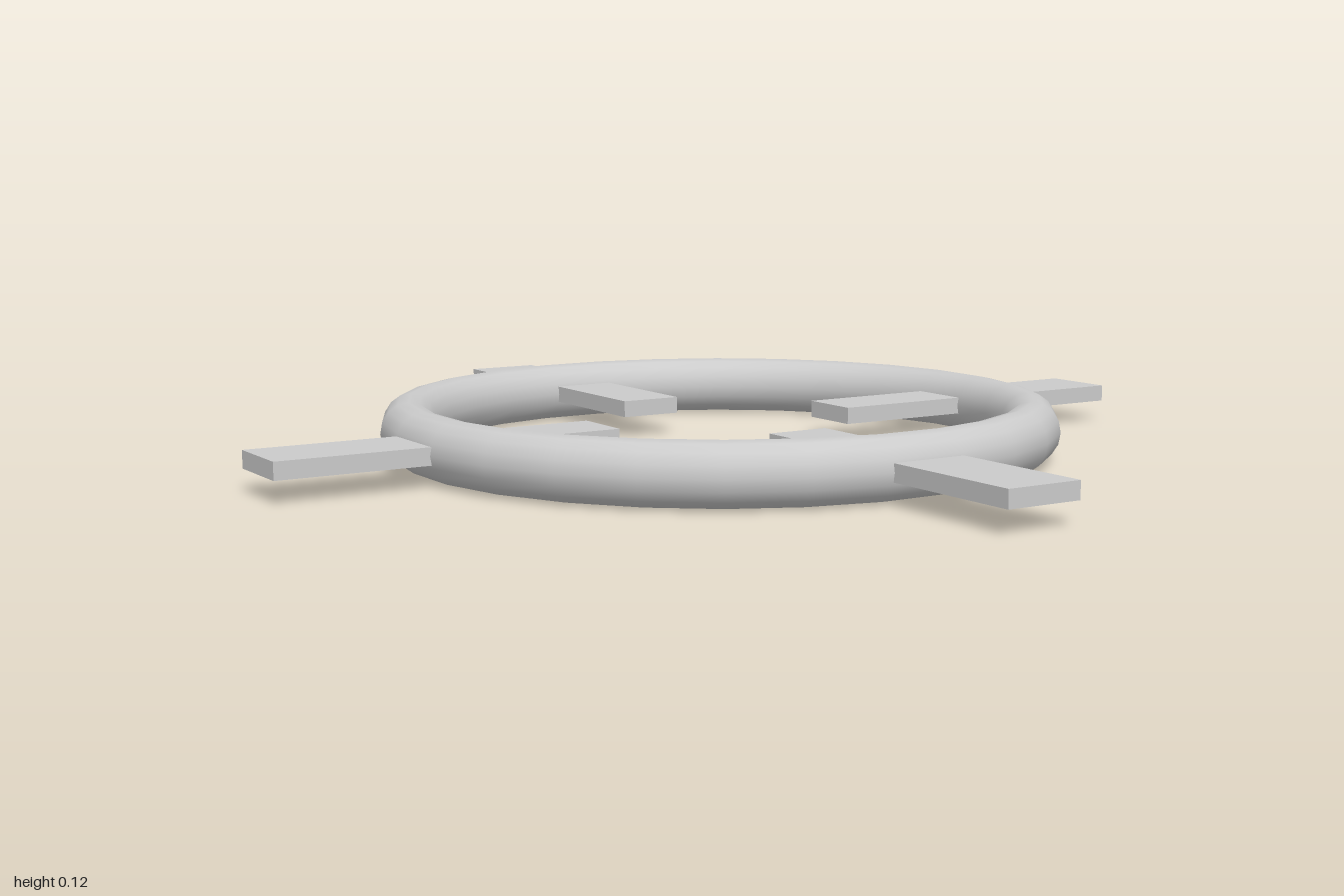
import * as THREE from 'three';

const MID_Y = 0.062; // height of the ring's centre plane

export function createModel() {
  const model = new THREE.Group();
  const material = new THREE.MeshStandardMaterial({ color: 0xcccccc });

  // Smooth ring, turned half a segment so a flat side faces each bar
  const ringGeometry = new THREE.TorusGeometry(0.642, 0.058, 16, 28);
  ringGeometry.scale(1, 1, 1.07);
  ringGeometry.rotateZ(Math.PI / 28);
  ringGeometry.rotateX(-Math.PI / 2);
  const ring = new THREE.Mesh(ringGeometry, material);
  ring.name = 'ring';
  ring.position.y = MID_Y;
  model.add(ring);

  // Flat bar running along +x between two radii
  const bar = (name, from, to, width) => {
    const mesh = new THREE.Mesh(new THREE.BoxGeometry(to - from, 0.035, width), material);
    mesh.name = name;
    mesh.position.x = (from + to) / 2;
    return mesh;
  };

  // Four crosshair arms: a wider bar outside the ring, a narrower one inside
  ['left', 'back', 'right', 'front'].forEach((side, i) => {
    const arm = new THREE.Group();
    arm.name = side + 'Arm';
    arm.add(bar('outerBar', 0.642, 1, 0.16), bar('innerBar', 0.28, 0.642, 0.134));
    arm.position.y = MID_Y;
    arm.rotation.y = (i * Math.PI) / 2;
    model.add(arm);
  });

  return model;
}
